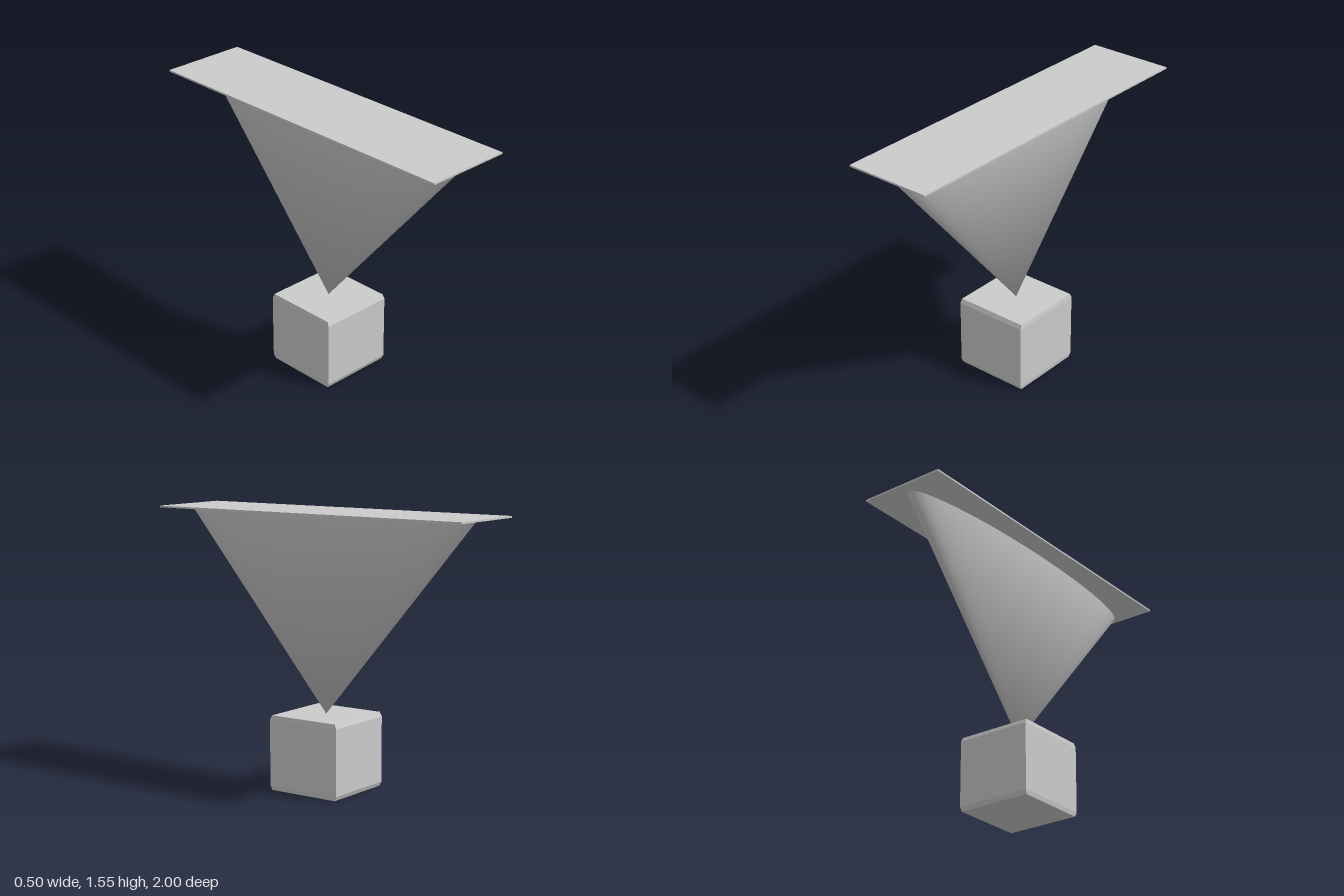
import * as THREE from 'three';
import { mergeVertices } from 'three/addons/utils/BufferGeometryUtils.js';

const BASE_H = 0.425, TOP_Y = 1.545, CENTRE_Z = 0.015;

function part(name, geometry, options = {}) {
  const material = new THREE.MeshStandardMaterial({ color: 0xcccccc, ...options });
  const mesh = new THREE.Mesh(geometry, material);
  mesh.name = name;
  return mesh;
}

// Block whose top and bottom rims are slightly drawn in as a bevel
function bevelledBlock(w, h, d, bevelX, bevelY, bevelZ) {
  const geo = new THREE.BoxGeometry(w, h, d, 1, 3, 1);
  const p = geo.attributes.position;
  for (let i = 0; i < p.count; i++) {
    const y = p.getY(i);
    if (Math.abs(y) > h * 0.4) {
      p.setX(i, p.getX(i) - Math.sign(p.getX(i)) * bevelX);
      p.setZ(i, p.getZ(i) - Math.sign(p.getZ(i)) * bevelZ);
    } else {
      p.setY(i, Math.sign(y) * (h / 2 - bevelY));
    }
  }
  geo.computeVertexNormals();
  return geo;
}

// Open flattened cone, point down, with one shared smooth vertex at the point
function flattenedCone(rx, height, rz) {
  const geo = new THREE.ConeGeometry(1, height, 48, 1, true);
  geo.rotateX(Math.PI);
  geo.scale(rx, 1, rz);
  geo.deleteAttribute('normal');
  geo.deleteAttribute('uv');
  const merged = mergeVertices(geo);
  merged.computeVertexNormals();
  return merged;
}

export function createModel() {
  const model = new THREE.Group();
  model.name = 'pedestalTable';

  const base = part('base', bevelledBlock(0.44, BASE_H, 0.45, 0.004, 0.025, 0.011), { flatShading: true });
  base.position.set(0, BASE_H / 2, CENTRE_Z);

  const coneH = TOP_Y - BASE_H;
  const support = part('coneSupport', flattenedCone(0.132, coneH, 0.955), { side: THREE.DoubleSide });
  support.position.set(0, BASE_H + coneH / 2, CENTRE_Z);

  const top = part('tableTop', new THREE.BoxGeometry(0.505, 0.01, 2));
  top.position.y = TOP_Y + 0.005;

  model.add(base, support, top);
  return model;
}
